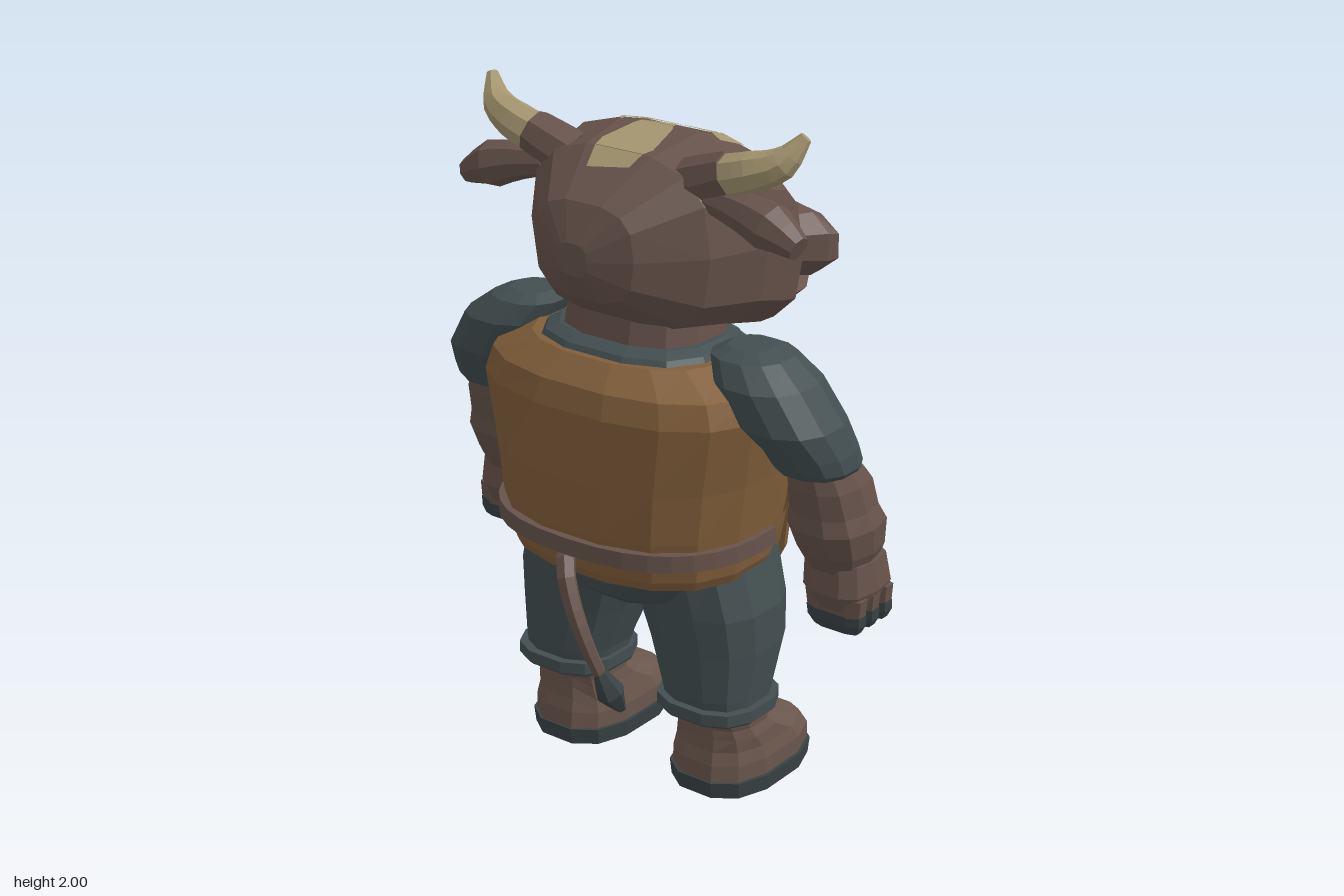
import * as THREE from 'three';

const mat = (name, color) => Object.assign(new THREE.MeshStandardMaterial({ color }), { name });

// Flat-faceted geometry from a list of triangle corners
function faceted(points) {
  const g = new THREE.BufferGeometry().setFromPoints(points);
  g.computeVertexNormals();
  return g;
}

// Skin a row of rings (closed loops, counter-clockwise about the travel direction) and cap both ends
function skin(rings) {
  const pts = [], n = rings[0].length;
  for (let i = 0; i < rings.length - 1; i++) for (let j = 0; j < n; j++) {
    const k = (j + 1) % n, a = rings[i][j], b = rings[i][k], c = rings[i + 1][k], d = rings[i + 1][j];
    pts.push(a, b, c, a, c, d);
  }
  [rings[0], rings[rings.length - 1]].forEach((r, end) => {
    const mid = r.reduce((s, p) => s.add(p), new THREE.Vector3()).divideScalar(n);
    r.forEach((p, j) => { const q = r[(j + 1) % n]; end ? pts.push(mid, p, q) : pts.push(mid, q, p); });
  });
  return faceted(pts);
}

// Loft of rounded-box sections. Rings along y: [y, x0, x1, z0, z1]; along x: [x, y0, y1, z0, z1]
function loft(axis, sections, sides = 12, power = 2.6) {
  const bend = v => Math.sign(v) * Math.abs(v) ** (2 / power);
  const unit = Array.from({ length: sides }, (_, j) => {
    const th = (j + 0.5) / sides * Math.PI * 2;
    return [bend(Math.cos(th)), bend(Math.sin(th))];
  });
  const [maxC, maxS] = [0, 1].map(k => Math.max(...unit.map(u => u[k])));
  return skin(sections.map(([t, a0, a1, b0, b1]) => unit.map(([c, s]) => {
    const a = (a0 + a1) / 2 + c / maxC * (a1 - a0) / 2, b = s / maxS * (b1 - b0) / 2, m = (b0 + b1) / 2;
    return axis === 'y' ? new THREE.Vector3(a, t, m - b) : new THREE.Vector3(t, a, m + b);
  })));
}

// Symmetric sections: half width instead of z0, z1
const sym = list => list.map(([t, a, b, w]) => [t, a, b, -w, w]);

// Tapered tube along a curve, with radii spread evenly along it
function taper(path, radii, sides = 7, steps = 9) {
  const curve = new THREE.CatmullRomCurve3(path.map(p => new THREE.Vector3(...p)));
  const frames = curve.computeFrenetFrames(steps);
  return skin(Array.from({ length: steps + 1 }, (_, i) => {
    const u = i / steps, f = u * (radii.length - 1), k = Math.min(Math.floor(f), radii.length - 2);
    const r = THREE.MathUtils.lerp(radii[k], radii[k + 1], f - k), c = curve.getPointAt(u);
    return Array.from({ length: sides }, (_, j) => {
      const th = j / sides * Math.PI * 2;
      return c.clone().addScaledVector(frames.normals[i], r * Math.cos(th))
        .addScaledVector(frames.binormals[i], r * Math.sin(th));
    });
  }));
}

// Thin painted patch: clip the faces of a geometry by a convex outline seen along +x (z, y) or +y (x, z)
function decal(geo, outline, axis, lift = 0.004) {
  const uv = p => axis === 'y' ? [p.x, p.z] : [p.z, p.y];
  const poly = outline.map(p => new THREE.Vector2(...p));
  if (THREE.ShapeUtils.area(poly) < 0) poly.reverse();
  const pos = geo.attributes.position, out = [];
  for (let i = 0; i < pos.count; i += 3) {
    let face = [0, 1, 2].map(k => new THREE.Vector3().fromBufferAttribute(pos, i + k));
    const normal = new THREE.Triangle(...face).getNormal(new THREE.Vector3());
    if (normal[axis] < 0.03) continue;
    poly.forEach((a, k) => {
      const b = poly[(k + 1) % poly.length], next = [];
      const side = p => { const [u, v] = uv(p); return (b.x - a.x) * (v - a.y) - (b.y - a.y) * (u - a.x); };
      face.forEach((p, m) => {
        const q = face[(m + 1) % face.length], sp = side(p), sq = side(q);
        if (sp >= 0) next.push(p);
        if (sp * sq < 0) next.push(p.clone().lerp(q, sp / (sp - sq)));
      });
      face = next;
    });
    face = face.map(p => p.clone().addScaledVector(normal, lift));
    for (let m = 1; m < face.length - 1; m++) out.push(face[0], face[m], face[m + 1]);
  }
  return faceted(out);
}

// Reflection across z with the corner order reversed
function mirrored(geo) {
  const g = geo.clone().scale(1, 1, -1);
  g.setIndex([...Array(g.attributes.position.count).keys()].reverse());
  g.computeVertexNormals();
  return g;
}

export function createModel() {
  const model = new THREE.Group();
  const hide = mat('brown hide', 0x67534b), boot = mat('boot leather', 0x6a564c);
  const horn = mat('cream horn', 0xa59670), leather = mat('tan leather', 0x815e3a);
  const cloth = mat('slate cloth', 0x424e50), dark = mat('dark hoof', 0x394244), iris = mat('eye teal', 0x5c7375);
  const add = (name, geo, m) => {
    const mesh = new THREE.Mesh(geo, m);
    mesh.name = name;
    model.add(mesh);
    return geo;
  };
  const pair = (name, geo, m) => { add(name + 'Left', mirrored(geo), m); add(name + 'Right', geo, m); };

  // Head, muzzle and jaw
  const head = add('head', loft('x', sym([[-0.41, 1.58, 1.67, 0.05], [-0.36, 1.5, 1.77, 0.17],
    [-0.21, 1.39, 1.88, 0.31], [-0.03, 1.36, 1.91, 0.37], [0.08, 1.33, 1.88, 0.37],
    [0.17, 1.32, 1.8, 0.345], [0.25, 1.33, 1.71, 0.28], [0.325, 1.37, 1.61, 0.19]]), 14, 2.9), hide);
  add('muzzle', loft('x', sym([[0.24, 1.4, 1.6, 0.18], [0.33, 1.39, 1.61, 0.2], [0.42, 1.37, 1.615, 0.26],
    [0.455, 1.38, 1.6, 0.27], [0.49, 1.41, 1.55, 0.225]]), 12, 2.4), hide);
  add('jaw', loft('x', sym([[0.08, 1.33, 1.42, 0.2], [0.25, 1.32, 1.42, 0.22], [0.4, 1.335, 1.4, 0.2],
    [0.455, 1.37, 1.4, 0.17]]), 10, 3), hide);

  // Forehead blaze and crown patch
  [[[0.07, 0], [0.05, -0.08], [0.08, -0.15], [0.15, -0.23], [0.34, -0.035], [0.34, 0]],
    [[-0.05, -0.12], [0.15, -0.23], [0.05, -0.08]],
    [[0.07, 0], [0.05, 0.09], [0.08, 0.17], [0.15, 0.225], [0.34, 0.035], [0.34, 0]],
    [[0, 0.18], [0.15, 0.225], [0.05, 0.1]]].forEach(p => add('blaze', decal(head, p, 'y'), horn));
  add('crownPatch', decal(head, [[-0.27, -0.06], [-0.165, -0.09], [-0.05, -0.07], [0.065, -0.01],
    [-0.05, 0.06], [-0.18, 0.095], [-0.25, 0.07]], 'y'), horn);

  // Eyes
  pair('eyeRim', decal(head, [[0.18, 1.69], [0.2, 1.705], [0.25, 1.71], [0.285, 1.7], [0.25, 1.675], [0.21, 1.67]], 'x', 0.004), cloth);
  pair('iris', decal(head, [[0.2, 1.69], [0.22, 1.7], [0.25, 1.7], [0.245, 1.68], [0.21, 1.677]], 'x', 0.007), iris);
  pair('glint', decal(head, [[0.218, 1.699], [0.231, 1.699], [0.231, 1.683], [0.218, 1.683]], 'x', 0.009), horn);

  // Horns and ears
  pair('hornBase', taper([[-0.15, 1.81, 0.2], [-0.155, 1.84, 0.28], [-0.16, 1.865, 0.34]], [0.072, 0.07, 0.062], 8, 3), hide);
  pair('horn', taper([[-0.16, 1.855, 0.32], [-0.16, 1.88, 0.4], [-0.14, 1.915, 0.485], [-0.105, 1.985, 0.535]],
    [0.06, 0.056, 0.044, 0.017], 8), horn);
  pair('ear', taper([[-0.17, 1.79, 0.28], [-0.17, 1.77, 0.4], [-0.175, 1.74, 0.5], [-0.18, 1.71, 0.57]],
    [0.04, 0.055, 0.068, 0.035], 8, 6), hide);

  // Neck, collar and torso
  add('neck', loft('y', sym([[1.28, -0.29, 0.09, 0.23], [1.43, -0.26, 0.1, 0.22]])), hide);
  add('collar', loft('y', sym([[1.28, -0.36, 0.13, 0.31], [1.345, -0.32, 0.1, 0.27], [1.36, -0.28, 0.07, 0.24]])), cloth);
  const torso = add('vest', loft('y', sym([[0.7, -0.4, 0.18, 0.37], [0.73, -0.415, 0.2, 0.385], [0.85, -0.437, 0.23, 0.4],
    [1.0, -0.442, 0.23, 0.42], [1.2, -0.44, 0.185, 0.455], [1.27, -0.42, 0.15, 0.43], [1.33, -0.35, 0.1, 0.31]]), 16, 2.4), leather);
  add('shirtFront', decal(torso, [[-0.3, 1.3], [-0.24, 1.335], [0.24, 1.335], [0.3, 1.3], [0.18, 1], [-0.18, 1]], 'x', 0.005), cloth);
  pair('strapTab', decal(torso, [[0.18, 1.25], [0.22, 1.225], [0.265, 1.28], [0.2, 1.305]], 'x', 0.009), hide);

  // Apron: a thin curved sheet
  const rows = [[0.48, 0.222, 0.13], [0.52, 0.235, 0.22], [0.65, 0.262, 0.285], [0.75, 0.275, 0.29], [0.88, 0.285, 0.28],
    [0.95, 0.287, 0.21], [1.02, 0.28, 0.17], [1.1, 0.26, 0.165], [1.19, 0.222, 0.15]];
  const across = [-1, -0.6, -0.2, 0.2, 0.6, 1];
  const apron = add('apron', skin(rows.map(([y, x, w]) => [...across, ...across.map(f => -f)].map((f, i) =>
    new THREE.Vector3(x - 0.7 * (f * w) ** 2 - (i > 5 ? 0.015 : 0), y, f * w)).reverse())), leather);
  add('bibPocket', decal(apron, [[0.05, 1.1], [0.14, 1.1], [0.14, 1.15], [0.05, 1.15]], 'x', 0.004), leather);
  pair('apronPocket', decal(apron, [[0.17, 0.69], [0.28, 0.7], [0.28, 0.8], [0.17, 0.79]], 'x', 0.008), leather);
  pair('sidePocket', decal(torso, [[0.29, 0.71], [0.36, 0.73], [0.375, 0.83], [0.29, 0.81]], 'x', 0.008), leather);

  // Belt around the back, following the rounded vest
  add('belt', skin(Array.from({ length: 19 }, (_, i) => {
    const th = Math.PI * (0.46 + 1.08 * i / 18), c = Math.cos(th), s = Math.sin(th);
    const x = Math.sign(c) * Math.abs(c) ** 0.83 * 0.355, z = Math.sign(s) * Math.abs(s) ** 0.83 * 0.42;
    return [[1, 0.78], [1, 0.83], [0.92, 0.83], [0.92, 0.78]].map(([k, y]) => new THREE.Vector3(-0.102 + x * k, y, z * k));
  })), hide);

  // Hips, trousers, cuffs, boots and soles
  add('hips', loft('y', sym([[0.56, -0.24, 0.04, 0.12], [0.61, -0.31, 0.08, 0.24], [0.74, -0.38, 0.14, 0.35]])), cloth);
  pair('trouserLeg', loft('y', [[0.26, -0.22, 0.04, 0.12, 0.395], [0.32, -0.23, 0.06, 0.11, 0.4], [0.46, -0.235, 0.11, 0.06, 0.415],
    [0.58, -0.25, 0.12, 0.02, 0.412], [0.73, -0.26, 0.13, 0.01, 0.37]]), cloth);
  pair('trouserCuff', loft('y', [[0.25, -0.24, 0.055, 0.105, 0.41], [0.26, -0.25, 0.065, 0.1, 0.42], [0.295, -0.25, 0.065, 0.1, 0.42]]), cloth);
  pair('boot', loft('y', [[0.04, -0.2, 0.24, 0.11, 0.41], [0.1, -0.195, 0.24, 0.11, 0.41], [0.14, -0.185, 0.2, 0.12, 0.4],
    [0.18, -0.18, 0.1, 0.13, 0.395], [0.21, -0.18, 0.05, 0.135, 0.385], [0.27, -0.2, 0.03, 0.13, 0.39]]), boot);
  pair('sole', loft('y', [[0, -0.2, 0.24, 0.105, 0.415], [0.05, -0.205, 0.245, 0.1, 0.42]]), dark);

  // Sleeves, forearms and hands
  pair('sleeve', loft('y', [[1.06, -0.17, 0.05, 0.46, 0.67], [1.075, -0.18, 0.055, 0.45, 0.68], [1.12, -0.205, 0.045, 0.435, 0.675],
    [1.2, -0.26, 0.035, 0.37, 0.65], [1.31, -0.27, 0.015, 0.31, 0.58], [1.37, -0.23, -0.01, 0.28, 0.5],
    [1.39, -0.18, -0.05, 0.32, 0.45]], 12, 2.3), cloth);
  pair('forearm', loft('y', [[0.74, -0.05, 0.13, 0.5, 0.67], [0.8, -0.085, 0.15, 0.475, 0.695], [0.88, -0.12, 0.15, 0.46, 0.705],
    [0.93, -0.12, 0.12, 0.47, 0.69], [1.01, -0.14, 0.1, 0.48, 0.68], [1.1, -0.15, 0.03, 0.49, 0.65]], 10, 2.5), hide);
  pair('palm', loft('y', [[0.63, -0.04, 0.15, 0.53, 0.68], [0.68, -0.06, 0.17, 0.49, 0.7], [0.77, -0.05, 0.15, 0.49, 0.69]], 10, 3), hide);
  for (let i = 0; i < 3; i++) {
    const x = -0.04 + i * 0.065;
    pair('finger', loft('y', [[0.61, x, x + 0.062, 0.52, 0.69], [0.67, x, x + 0.062, 0.51, 0.695]], 8, 3), hide);
    pair('fingerHoof', loft('y', [[0.565, x + 0.008, x + 0.056, 0.54, 0.68], [0.59, x, x + 0.064, 0.52, 0.692],
      [0.62, x, x + 0.064, 0.515, 0.692]], 8, 3), dark);
  }
  pair('thumb', taper([[0.1, 0.75, 0.53], [0.15, 0.71, 0.505], [0.165, 0.65, 0.51]], [0.04, 0.04, 0.034], 6, 4), hide);
  pair('thumbHoof', loft('y', [[0.6, 0.145, 0.18, 0.495, 0.535], [0.65, 0.135, 0.198, 0.478, 0.542]], 8, 3), dark);

  // Tail and tuft
  add('tail', taper([[-0.4, 0.765, -0.03], [-0.445, 0.745, -0.01], [-0.468, 0.65, 0.03], [-0.462, 0.52, 0.08], [-0.43, 0.41, 0.11]],
    [0.03, 0.028, 0.026, 0.022, 0.019], 6), hide);
  add('tailTuft', taper([[-0.44, 0.44, 0.105], [-0.415, 0.375, 0.12], [-0.375, 0.305, 0.13]], [0.02, 0.042, 0.014], 6, 4), dark);
  return model;
}
